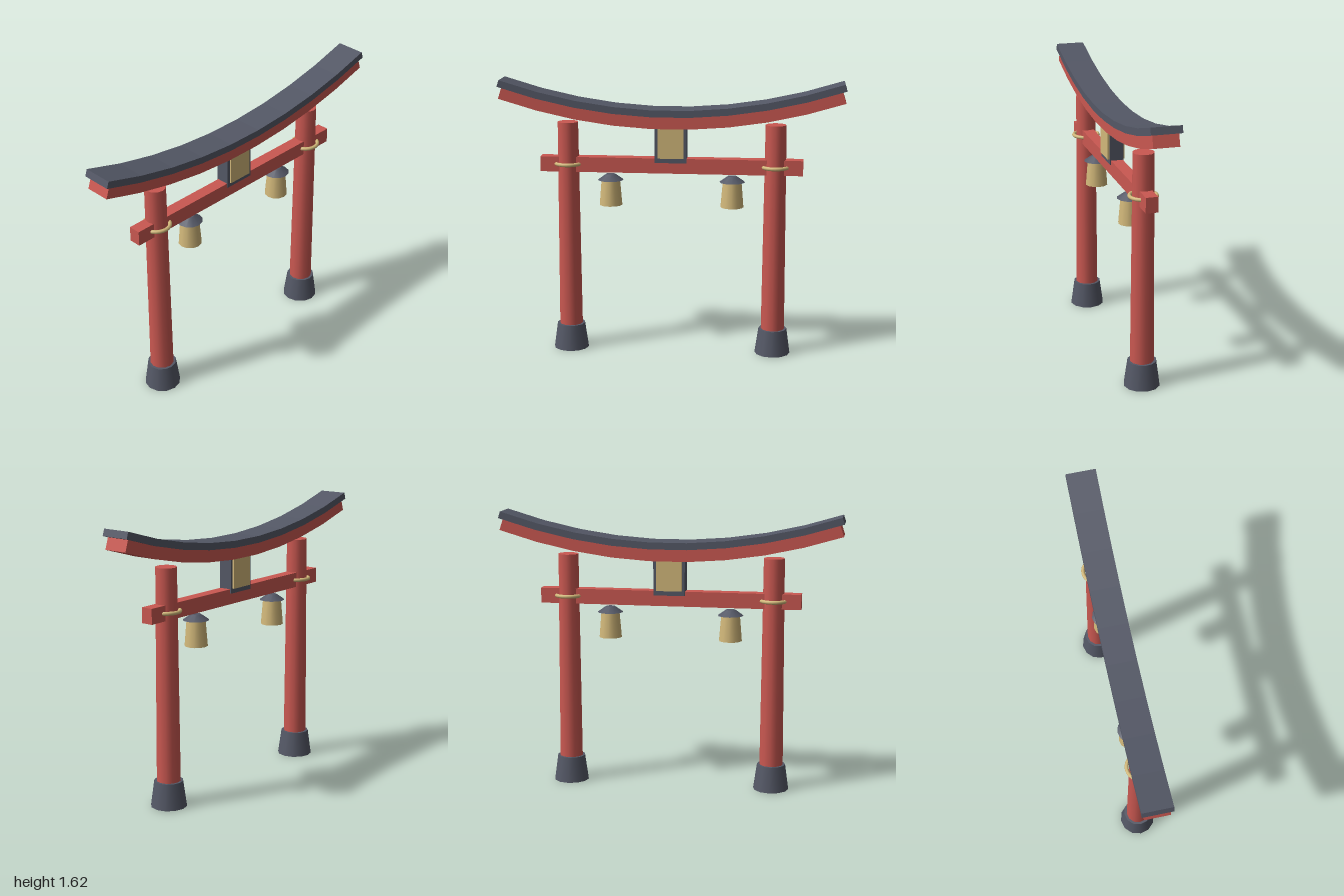
import * as THREE from 'three';

const mat = (name, color) => Object.assign(new THREE.MeshStandardMaterial({ color }), { name });

export function createModel() {
  const red = mat('vermilion paint', 0xca5851);
  const slate = mat('dark slate', 0x545866);
  const straw = mat('straw gold', 0xd2b87a);
  const model = new THREE.Group();
  model.name = 'shrineGate';

  const add = (name, geometry, material, x = 0, y = 0, z = 0, parent = model) => {
    const mesh = new THREE.Mesh(geometry, material);
    mesh.name = name;
    mesh.position.set(x, y, z);
    parent.add(mesh);
    return mesh;
  };

  // Beam that sags along a parabola, with ends cut square to the curve
  const curvedBeam = (half, midY, rise, thick, depth, segments = 9) => {
    const top = [], bottom = [];
    for (let i = 0; i <= segments; i++) {
      const x = half * (2 * i / segments - 1);
      const y = midY + rise * (x / half) ** 2;
      const normal = new THREE.Vector2(-2 * rise * x / half ** 2, 1).setLength(thick / 2);
      const p = new THREE.Vector2(x, y);
      top.push(p.clone().add(normal));
      bottom.push(p.clone().sub(normal));
    }
    const shape = new THREE.Shape([...bottom, ...top.reverse()]);
    return new THREE.ExtrudeGeometry(shape, { depth, bevelEnabled: false }).translate(0, 0, -depth / 2);
  };

  // Top lintel and its roof cap
  add('topLintel', curvedBeam(0.985, 1.379, 0.162, 0.07, 0.142), red);
  add('roofCap', curvedBeam(0.993, 1.434, 0.164, 0.04, 0.17), slate);

  // Straight tie beam
  add('tieBeam', new THREE.BoxGeometry(1.526, 0.088, 0.07), red, 0, 1.124);

  // Central tablet: frame with a face on both sides
  add('tabletFrame', new THREE.BoxGeometry(0.184, 0.215, 0.08), slate, 0, 1.25);
  add('tabletFace', new THREE.BoxGeometry(0.15, 0.19, 0.1), straw, 0, 1.265);

  for (const side of [-1, 1]) {
    // Pillar, footing and rope ring
    const pillar = new THREE.Group();
    pillar.name = side > 0 ? 'leftPillar' : 'rightPillar';
    pillar.position.x = side * 0.603;
    model.add(pillar);
    add('post', new THREE.CylinderGeometry(0.06, 0.069, 1.27, 12), red, 0, 0.735, 0, pillar);
    add('footing', new THREE.CylinderGeometry(0.083, 0.104, 0.15, 12), slate, 0, 0.075, 0, pillar);
    const rope = new THREE.TorusGeometry(0.075, 0.011, 8, 24).rotateX(Math.PI / 2);
    add('ropeRing', rope, straw, 0, 1.125, 0, pillar);

    // Hanging lantern
    const lantern = new THREE.Group();
    lantern.name = side > 0 ? 'leftLantern' : 'rightLantern';
    lantern.position.x = side * 0.355;
    model.add(lantern);
    add('lanternBody', new THREE.CylinderGeometry(0.054, 0.067, 0.155, 12), straw, 0, 0.96, 0, lantern);
    add('lanternCap', new THREE.CylinderGeometry(0.027, 0.075, 0.034, 12), slate, 0, 1.048, 0, lantern);
  }
  return model;
}
